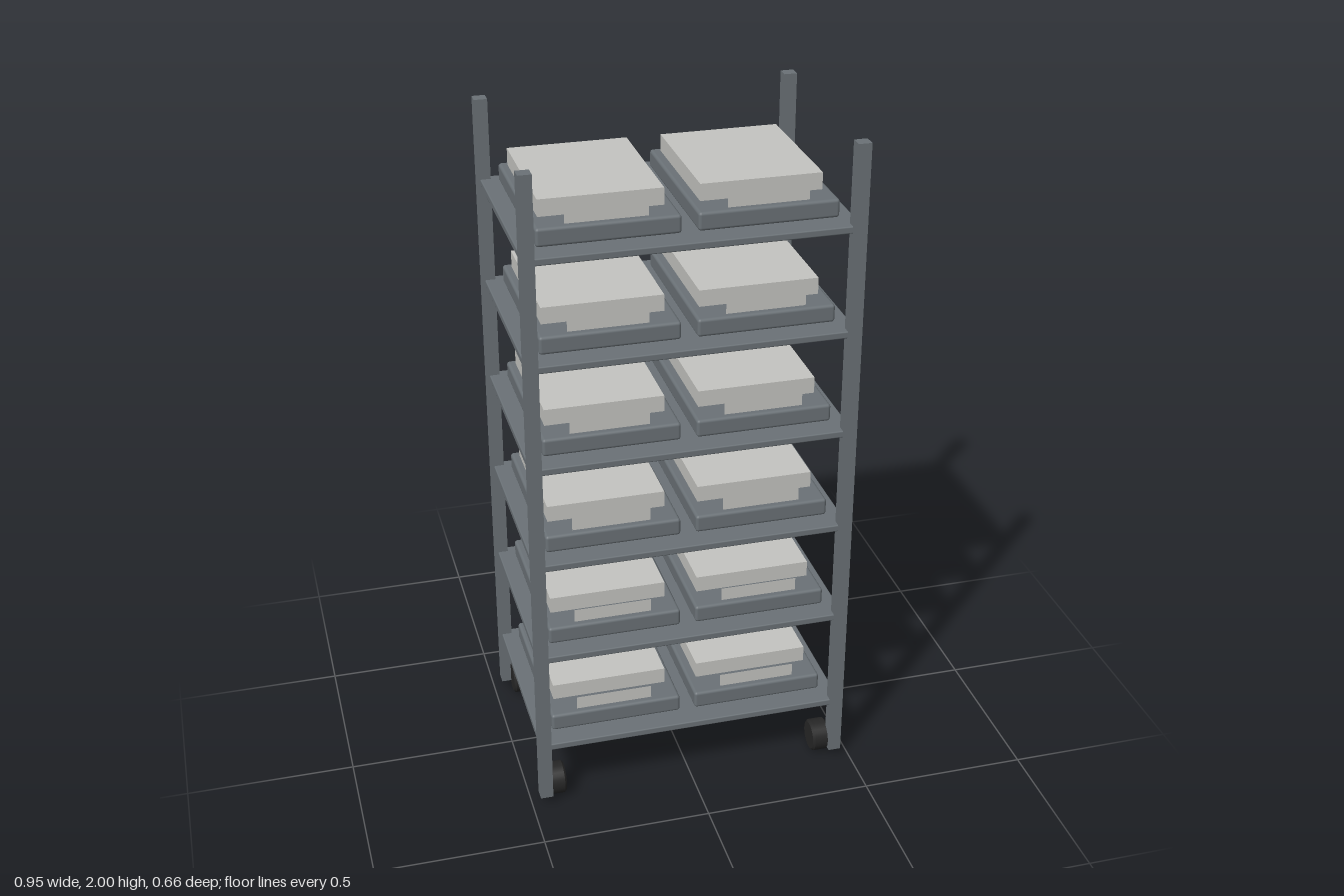
import * as THREE from 'three';
import { RoundedBoxGeometry } from 'three/addons/geometries/RoundedBoxGeometry.js';

export function createModel() {
  const steel = new THREE.MeshStandardMaterial({ name: 'slate grey metal', color: 0x6a7176 });
  const pale = new THREE.MeshStandardMaterial({ name: 'pale grey', color: 0xc4c4c0 });
  const paleSheet = pale;
  paleSheet.side = THREE.DoubleSide; // label cards are single sheets
  const rubber = new THREE.MeshStandardMaterial({ name: 'black rubber', color: 0x262626 });

  const cart = new THREE.Group();
  cart.name = 'shelfCart';

  const add = (parent, name, geometry, material, x, y, z) => {
    const mesh = new THREE.Mesh(geometry, material);
    mesh.name = name;
    mesh.position.set(x, y, z);
    parent.add(mesh);
    return mesh;
  };

  // Corner posts with a caster tucked inside each foot
  const postGeo = new THREE.BoxGeometry(0.038, 1.975, 0.038);
  const r = 0.049, w = 0.027, b = 0.006;
  const wheelGeo = new THREE.LatheGeometry(
    [[0, -w], [r - b, -w], [r - b, -w], [r, b - w], [r, b - w], [r, w - b], [r, w - b], [r - b, w], [r - b, w], [0, w]]
      .map(([x, y]) => new THREE.Vector2(x, y)), 28);
  wheelGeo.rotateZ(Math.PI / 2);
  for (const sx of [-1, 1]) {
    for (const sz of [-1, 1]) {
      add(cart, 'cornerPost', postGeo, steel, sx * 0.456, 1.0125, sz * 0.312);
      add(cart, 'casterWheel', wheelGeo, rubber, sx * 0.418, 0.05, sz * 0.272);
    }
  }

  // Six shelves, each carrying two trays
  const shelfGeo = new RoundedBoxGeometry(0.934, 0.021, 0.638, 2, 0.004);
  const trayGeo = new RoundedBoxGeometry(0.397, 0.053, 0.522, 3, 0.009);
  const boxGeo = new THREE.BoxGeometry(0.347, 0.05, 0.415);
  const labelGeo = new THREE.PlaneGeometry(0.23, 0.042);
  for (let i = 0; i < 6; i++) {
    const level = new THREE.Group();
    level.name = 'shelfLevel';
    level.position.y = 0.209 + i * 0.311; // top face of the shelf
    cart.add(level);
    add(level, 'shelf', shelfGeo, steel, 0, -0.0105, 0);
    for (const s of [-1, 1]) {
      add(level, 'tray', trayGeo, steel, s * 0.2215, 0.0315, -0.001);
      add(level, 'storageBox', boxGeo, pale, s * 0.2235, 0.082, -0.032);
      add(level, 'labelCard', labelGeo, paleSheet, s * 0.2235, 0.077, 0.24);
    }
  }
  return cart;
}
